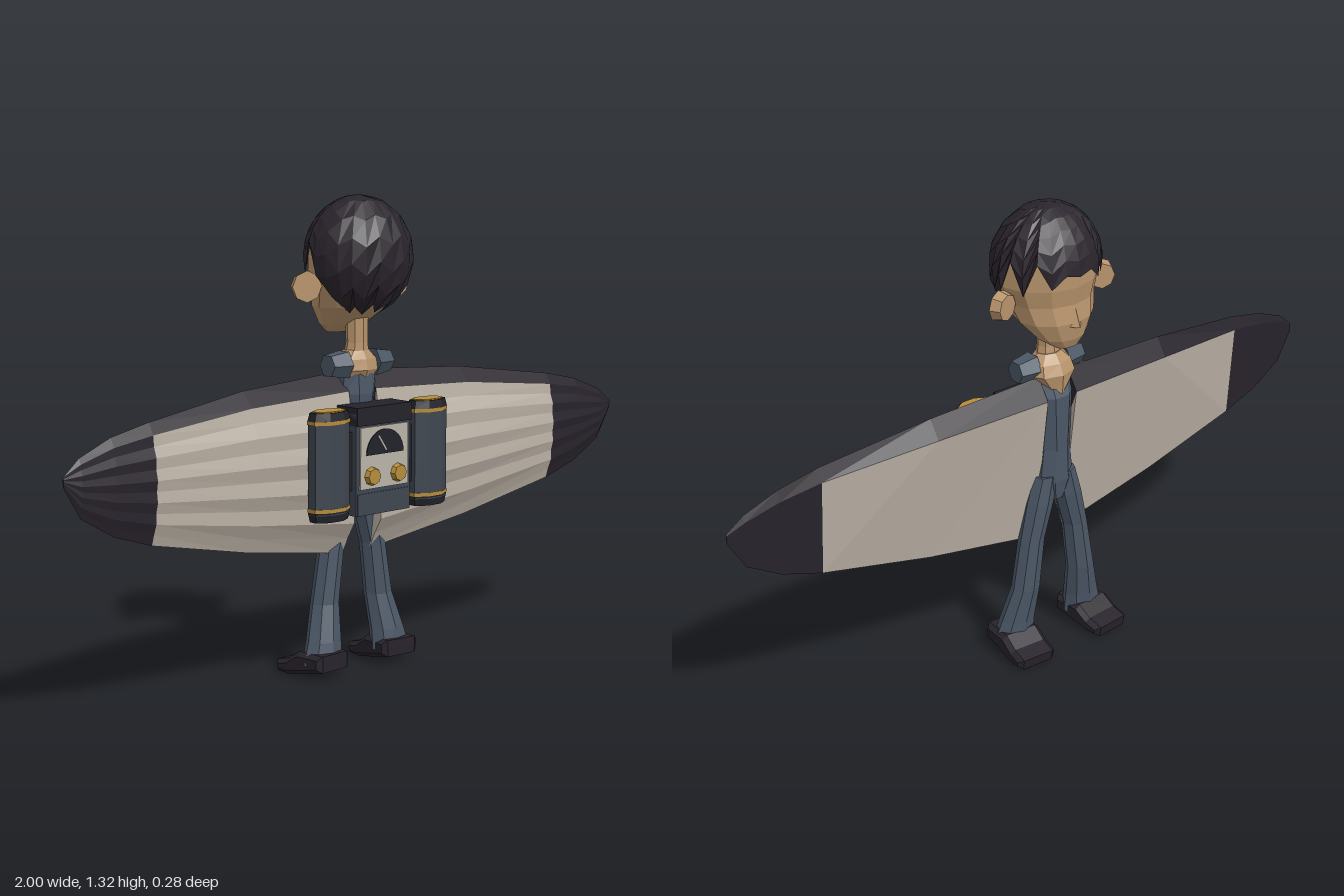
import * as THREE from 'three';

const mat = (color, side = THREE.FrontSide) => new THREE.MeshStandardMaterial({ color, flatShading: true, side });
const HAIR = mat(0x2a242c, THREE.DoubleSide), DARK = mat(0x28232b), SKIN = mat(0xb8946c);
const CLOTH = mat(0x4b5766), STEEL = mat(0x3e4650), BLACK = mat(0x22232a);
const CANVAS = mat(0xb9afa3), GOLD = mat(0xb58c3a), PLATE = mat(0xb8b4a8);

function add(parent, name, geo, material, x = 0, y = 0, z = 0) {
  const m = new THREE.Mesh(geo, material);
  m.name = name;
  m.position.set(x, y, z);
  parent.add(m);
  return m;
}

// surface through a grid of points; the face normal is (row direction) x (column direction)
function grid(rows) {
  const pos = [], n = rows[0].length;
  for (let i = 0; i < rows.length - 1; i++) {
    for (let j = 0; j < n - 1; j++) {
      const a = rows[i][j], b = rows[i + 1][j], c = rows[i + 1][j + 1], d = rows[i][j + 1];
      pos.push(...a, ...b, ...c, ...a, ...c, ...d);
    }
  }
  const g = new THREE.BufferGeometry();
  g.setAttribute('position', new THREE.Float32BufferAttribute(pos, 3));
  g.computeVertexNormals();
  return g;
}

// closed, capped solid from elliptical rings [y, cx, cz, rx, rz], bottom to top
function loft(rings, sides = 8, turn = 0) {
  const first = rings[0], last = rings[rings.length - 1];
  const all = [[...first.slice(0, 3), 0, 0], ...rings, [...last.slice(0, 3), 0, 0]];
  const rows = [];
  for (let i = 0; i <= sides; i++) {
    const a = (i / sides) * Math.PI * 2 + turn;
    rows.push(all.map(([y, cx, cz, rx, rz]) => [cx + rx * Math.sin(a), y, cz + rz * Math.cos(a)]));
  }
  return grid(rows);
}

// wing stations: x, top y, bottom y, then z of top, front, bottom and back
const STATIONS = [
  [0.05, 0.6, 0.6, 0, 0, 0, 0],
  [0.05, 0.84, 0.335, -0.03, -0.07, -0.01, 0.062],
  [0.4, 0.82, 0.39, -0.01, -0.045, 0.01, 0.062],
  [0.73, 0.775, 0.46, 0.025, 0.01, 0.03, 0.06],
  [0.85, 0.75, 0.5, 0.03, 0.02, 0.035, 0.057],
  [0.95, 0.71, 0.56, 0.037, 0.03, 0.038, 0.052],
  [1, 0.67, 0.645, 0.042, 0.04, 0.04, 0.043],
  [1, 0.657, 0.657, 0.041, 0.041, 0.041, 0.041],
];

// one wing section: ribbed back from bottom to top, then the flat front back down
function section([x, yT, yB, zT, zF, zBot, zBack]) {
  const pts = [], y = t => yB + (yT - yB) * t;
  for (let i = 0; i <= 10; i++) {
    const t = i * 0.09, base = zBot + (zT - zBot) * t;
    const bulge = Math.pow(Math.sin(Math.PI * t), 0.6);
    const groove = i % 2 ? 0.16 * (zBack - zBot) : 0;
    pts.push([x, y(t), base + (zBack - base) * bulge - groove]);
  }
  pts.push([x, y(1), zT], [x, y(0.88), zF], [x, y(0), zBot]);
  return pts;
}

function wing(name) {
  const g = new THREE.Group();
  g.name = name;
  const s = STATIONS.map(section), inner = s.slice(0, 4);
  const strip = (a, b) => grid(inner.map(r => r.slice(a, b + 1)));
  add(g, 'ribbedPanel', strip(0, 10), CANVAS);
  add(g, 'leadingEdge', strip(10, 12), DARK);
  add(g, 'flatPanel', strip(12, 13), CANVAS);
  add(g, 'wingTip', grid(s.slice(3)), DARK);
  return g;
}

function leg(name) {
  const g = new THREE.Group();
  g.name = name;
  add(g, 'trouserLeg', loft([
    [0.04, 0.128, -0.008, 0.066, 0.044], [0.1, 0.118, -0.014, 0.055, 0.042], [0.2, 0.1, -0.03, 0.043, 0.037],
    [0.35, 0.078, -0.03, 0.038, 0.036], [0.46, 0.05, -0.03, 0.042, 0.04], [0.54, 0.032, -0.03, 0.036, 0.038],
  ]), CLOTH);
  const profile = new THREE.Shape([
    [-0.03, 0.035], [0.05, 0.02], [0.09, 0.012], [0.12, 0.014], [0.122, 0.025], [0.085, 0.035], [0.045, 0.06], [-0.03, 0.06],
  ].map(p => new THREE.Vector2(...p)));
  const shoe = new THREE.ExtrudeGeometry(profile, { depth: 0.096, bevelThickness: 0.014, bevelSize: 0.012, bevelSegments: 1 });
  shoe.translate(0, 0, -0.048).rotateY(Math.PI / 2);
  add(g, 'shoe', shoe, DARK, 0.128).rotation.y = -0.08;
  return g;
}

function tank(name) {
  const g = new THREE.Group();
  g.name = name;
  const part = (n, y0, y1, k, m) => add(g, n, loft(
    [[y0, 0.182, 0.083, 0.067 * k, 0.04 * k], [y1, 0.182, 0.083, 0.067 * k, 0.04 * k]], 8, Math.PI / 8), m);
  part('tankBody', 0.48, 0.735, 0.98, STEEL);
  part('lowerBand', 0.487, 0.497, 1.02, GOLD);
  part('upperBand', 0.723, 0.733, 1.02, GOLD);
  for (const [n, a, b] of [['bottomCap', 0.46, 0.487], ['topCap', 0.755, 0.733]]) {
    const wide = [b, 0.182, 0.083, 0.067, 0.04], narrow = [a, 0.182, 0.083, 0.061, 0.035];
    add(g, n, loft(a < b ? [narrow, wide] : [wide, narrow], 8, Math.PI / 8), BLACK);
  }
  part('tankLid', 0.75, 0.758, 0.78, GOLD);
  return g;
}

function hairShell() {
  // hairline heights from the nape (0) round to the fringe (180 degrees)
  const line = [1.005, 1.03, 1.0, 1.025, 1.005, 1.05, 1.11, 1.2, 1.11, 1.2, 1.13, 1.165, 1.155];
  const rows = [];
  for (let i = 0; i <= 24; i++) {
    const a = (i / 24) * Math.PI * 2, end = Math.acos((line[i <= 12 ? i : 24 - i] - 1.155) / 0.167);
    const row = [];
    for (let j = 0; j <= 6; j++) {
      const p = end * (1 - j / 6), r = Math.sin(p);
      row.push([0.16 * r * Math.sin(a), 1.155 + 0.167 * Math.cos(p), 0.141 * r * Math.cos(a)]);
    }
    rows.push(row);
  }
  return grid(rows);
}

export function createModel() {
  const model = new THREE.Group();
  model.name = 'winged figure';

  // head
  add(model, 'face', loft([
    [0.943, 0, -0.088, 0.035, 0.02], [0.97, 0, -0.062, 0.075, 0.058], [1.02, 0, -0.032, 0.115, 0.096],
    [1.07, 0, -0.012, 0.13, 0.108], [1.12, 0, 0, 0.147, 0.128], [1.2, 0, 0, 0.144, 0.128], [1.28, 0, 0, 0.08, 0.07],
  ], 12), SKIN);
  add(model, 'nose', new THREE.ConeGeometry(0.02, 0.05, 4), SKIN, 0, 1.035, -0.122);
  add(model, 'hair', hairShell(), HAIR);
  for (const s of [1, -1]) {
    const ear = add(model, s > 0 ? 'leftEar' : 'rightEar',
      new THREE.CylinderGeometry(0.043, 0.036, 0.03, 8).rotateX(Math.PI / 2), SKIN, s * 0.168, 1.08, -0.028);
    ear.rotation.y = s * 0.3;
  }

  // trunk
  add(model, 'neck', loft([[0.87, 0, -0.01, 0.042, 0.032], [0.92, 0, -0.007, 0.033, 0.027], [1.02, 0, -0.008, 0.036, 0.029]]), SKIN);
  add(model, 'upperChest', loft([[0.79, 0, -0.03, 0.025, 0.04], [0.845, 0, -0.018, 0.076, 0.056],
    [0.875, 0, -0.014, 0.068, 0.046], [0.9, 0, -0.01, 0.038, 0.03]]), SKIN);
  add(model, 'torso', loft([[0.46, 0, -0.03, 0.03, 0.03], [0.52, 0, -0.03, 0.062, 0.042], [0.62, 0, -0.03, 0.05, 0.044],
    [0.78, 0, -0.02, 0.064, 0.056], [0.835, 0, -0.01, 0.062, 0.04]], 8, Math.PI / 8), CLOTH);

  // mirrored pairs
  for (const s of [1, -1]) {
    const side = s > 0 ? 'left' : 'right';
    const parts = [wing(side + 'Wing'), leg(side + 'Leg'), tank(side + 'Tank')];
    for (const p of parts) {
      p.scale.x = s;
      model.add(p);
    }
    const pad = add(model, side + 'Shoulder', new THREE.CylinderGeometry(0.032, 0.042, 0.06, 6).rotateZ(Math.PI / 2),
      CLOTH, s * 0.08, 0.862, -0.004);
    pad.rotation.y = s > 0 ? Math.PI : 0;
  }

  // control pack
  const pack = new THREE.Group();
  pack.name = 'controlPack';
  model.add(pack);
  add(pack, 'packBox', new THREE.BoxGeometry(0.2, 0.28, 0.09), STEEL, 0, 0.6, 0.055);
  add(pack, 'packTop', new THREE.BoxGeometry(0.2, 0.05, 0.1), BLACK, 0, 0.732, 0.057);
  add(pack, 'packBase', new THREE.BoxGeometry(0.19, 0.06, 0.095), STEEL, 0, 0.49, 0.055);
  add(pack, 'tankBracket', new THREE.BoxGeometry(0.3, 0.16, 0.03), BLACK, 0, 0.61, 0.07);
  add(pack, 'controlPlate', new THREE.BoxGeometry(0.176, 0.17, 0.008), PLATE, 0, 0.617, 0.102);
  const dial = new THREE.Shape().absarc(0, 0, 0.068, 0, Math.PI, false);
  add(pack, 'dial', new THREE.ExtrudeGeometry(dial, { depth: 0.004, bevelEnabled: false, curveSegments: 8 }), BLACK, 0, 0.625, 0.105);
  add(pack, 'needle', new THREE.BoxGeometry(0.005, 0.05, 0.003), PLATE, -0.012, 0.655, 0.11).rotation.z = 0.6;
  for (const x of [-0.048, 0.048]) {
    add(pack, 'knob', new THREE.CylinderGeometry(0.022, 0.027, 0.016, 8).rotateX(Math.PI / 2), GOLD, x, 0.567, 0.112);
  }
  return model;
}
